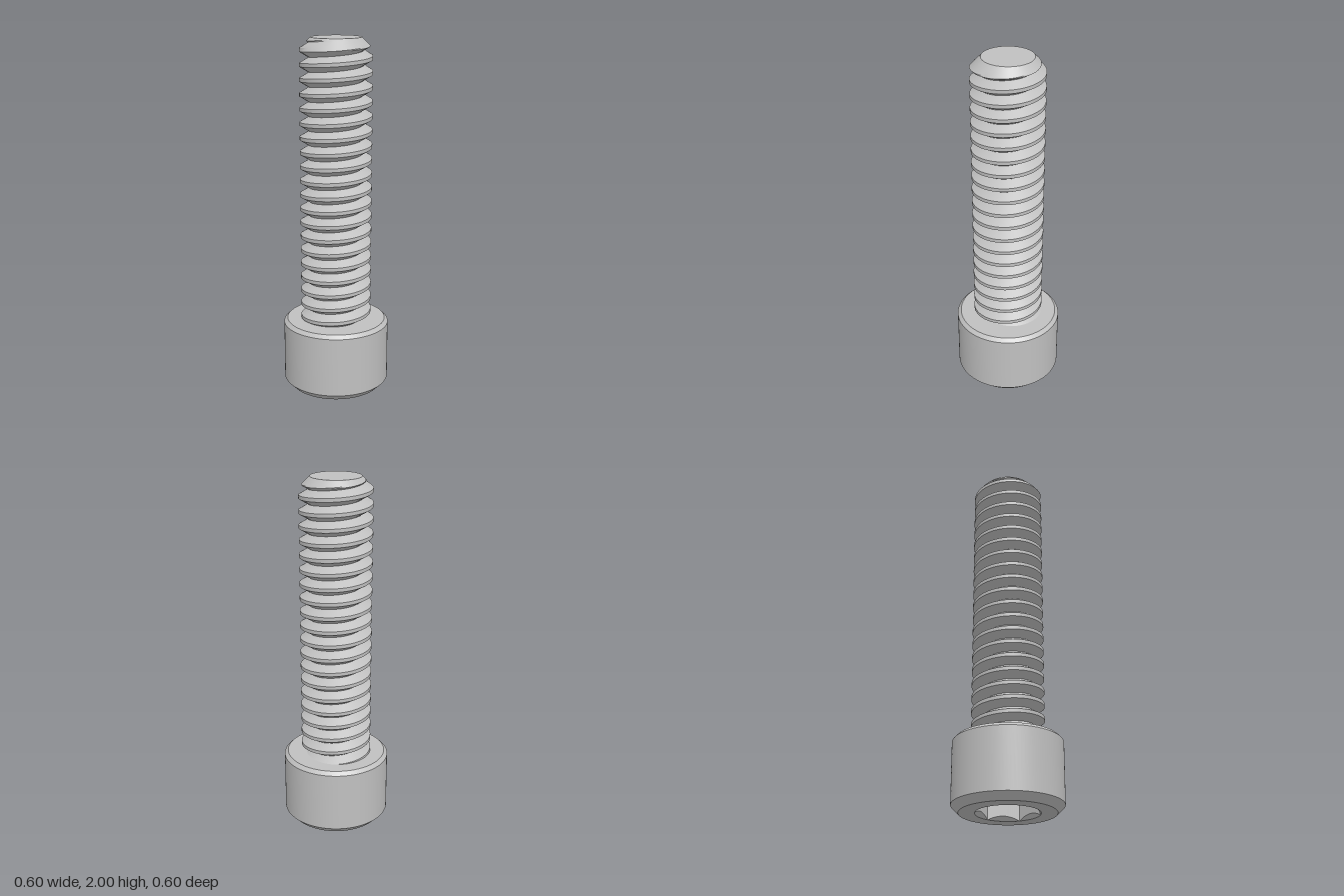
import * as THREE from 'three';
import { toCreasedNormals } from 'three/addons/utils/BufferGeometryUtils.js';

const STEEL = new THREE.MeshStandardMaterial({ color: 0xc0c0c0 });
STEEL.name = 'steel grey';

const SEGMENTS = 96;
const HEAD_TOP = 0.4, TIP = 2;
const PITCH = 0.08, MAJOR = 0.2, MINOR = 0.15, CREST = 0.01, TIP_RADIUS = 0.14;
const CREASE = 0.4;

// Skin a stack of rings; ring(i, angle) gives [radius, y]. Rising rings face outward.
function loft(count, ring) {
  const positions = [];
  const point = (i, j) => {
    const angle = (j / SEGMENTS) * Math.PI * 2;
    const [r, y] = ring(i, angle);
    return new THREE.Vector3(r * Math.cos(angle), y, -r * Math.sin(angle));
  };
  const triangle = new THREE.Triangle();
  const add = (...corners) => {
    triangle.set(...corners);
    if (triangle.getArea() < 1e-9) return;
    for (const p of corners) positions.push(p.x, p.y, p.z);
  };
  for (let i = 0; i < count - 1; i++) {
    for (let j = 0; j < SEGMENTS; j++) {
      const a = point(i, j), b = point(i, j + 1), c = point(i + 1, j + 1), d = point(i + 1, j);
      add(a, b, c);
      add(a, c, d);
    }
  }
  const geometry = new THREE.BufferGeometry();
  geometry.setAttribute('position', new THREE.Float32BufferAttribute(positions, 3));
  return geometry;
}

function part(name, geometry) {
  const mesh = new THREE.Mesh(toCreasedNormals(geometry, CREASE), STEEL);
  mesh.name = name;
  return mesh;
}

// Right-hand V thread with a flat crest, trimmed by a 45 degree cone at the tip
function threadedShaft() {
  const half = PITCH / 2, flank = half - CREST, steps = 5;
  const turn = [];
  for (let k = 0; k <= steps; k++) turn.push(-half + (flank * k) / steps);
  for (let k = 0; k < steps; k++) turn.push(CREST + (flank * k) / steps);

  const offsets = [];
  for (let n = -21; n <= 1; n++) for (const d of turn) offsets.push(n * PITCH + d);

  const crestHeight = (angle) => 1.975 + (PITCH * angle) / (Math.PI * 2);
  const radius = (y, angle) => {
    const phase = y - crestHeight(angle) + half;
    const d = phase - Math.floor(phase / PITCH) * PITCH - half;
    const drop = Math.max(0, Math.abs(d) - CREST) / flank;
    return Math.min(MAJOR - (MAJOR - MINOR) * drop, TIP_RADIUS + TIP - y);
  };
  return loft(offsets.length + 2, (i, angle) => {
    if (i === offsets.length) return [TIP_RADIUS, TIP];
    if (i > offsets.length) return [0, TIP];
    const y = THREE.MathUtils.clamp(crestHeight(angle) + offsets[i], HEAD_TOP, TIP);
    return [radius(y, angle), y];
  });
}

// Hexagonal recess in the underside with a conical lead-in that scallops the walls
function hexSocket() {
  const inner = 0.15, corner = inner / Math.cos(Math.PI / 6), depth = 0.2;
  const sector = Math.PI / 3;
  return loft(4, (i, angle) => {
    const local = angle - Math.round(angle / sector) * sector;
    const hex = inner / Math.cos(local);
    return [[0, depth], [hex, depth], [hex, corner - hex], [corner, 0]][i];
  });
}

// Cylindrical head, bevelled at both rims and open at the socket
function capHead() {
  const profile = [
    [0.1732, 0], [0.26, 0], [0.3, 0.04], [0.3, 0.38], [0.28, HEAD_TOP], [0.13, HEAD_TOP],
  ].map(([r, y]) => new THREE.Vector2(r, y));
  return new THREE.LatheGeometry(profile, SEGMENTS);
}

export function createModel() {
  const model = new THREE.Group();
  model.name = 'socketCapScrew';
  model.add(
    part('head', capHead()),
    part('hexSocket', hexSocket()),
    part('threadedShaft', threadedShaft()),
  );
  return model;
}
